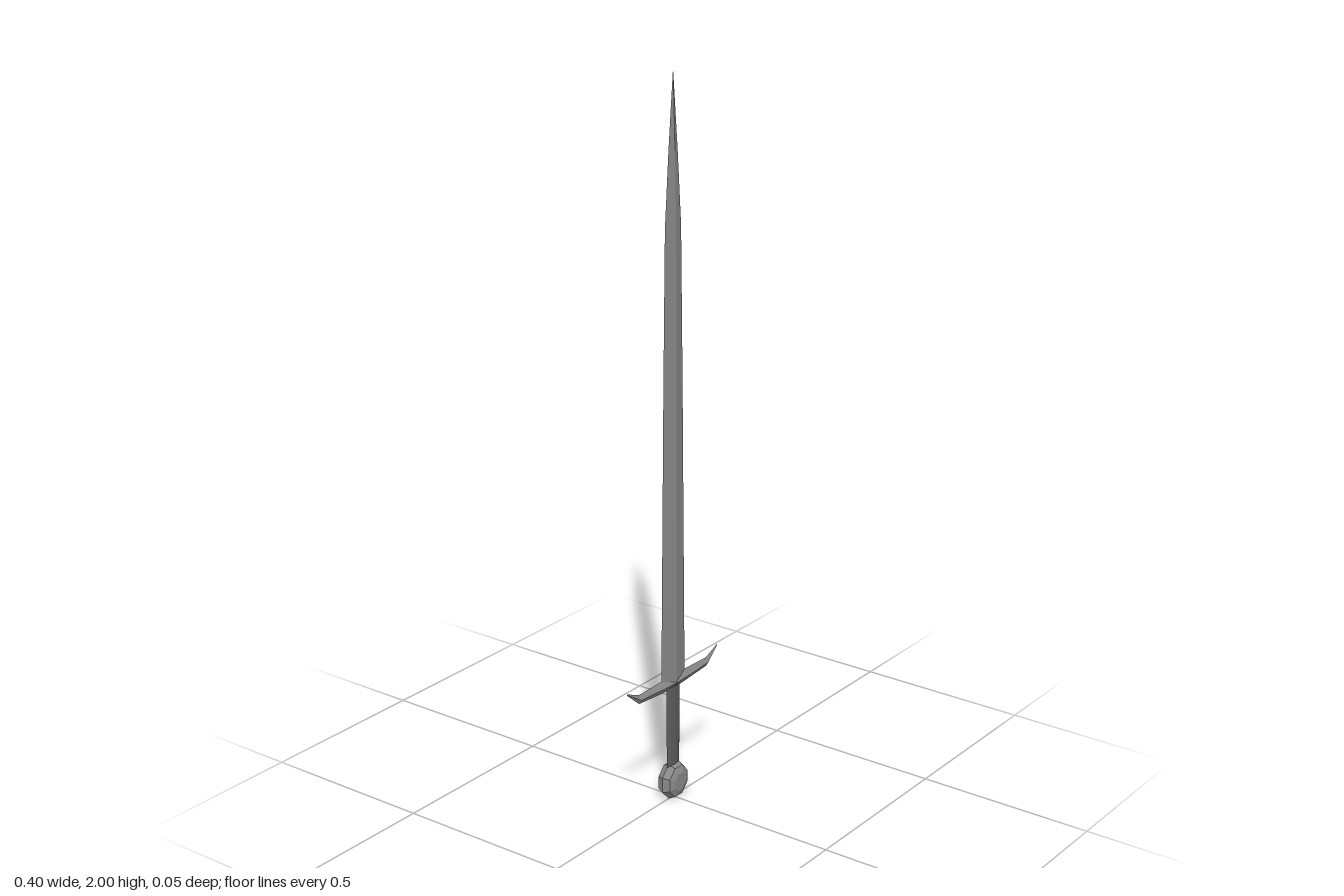
import * as THREE from 'three';

// Skin a list of closed rings; each ring winds counterclockwise about the direction of travel.
function loft(rings) {
  const pos = [];
  const tri = (a, b, c) => pos.push(...a, ...b, ...c);
  const n = rings[0].length;
  for (let i = 0; i < rings.length - 1; i++) {
    for (let j = 0; j < n; j++) {
      const k = (j + 1) % n;
      const a = rings[i][j], b = rings[i][k], c = rings[i + 1][k], d = rings[i + 1][j];
      tri(a, b, c);
      tri(a, c, d);
    }
  }
  const first = rings[0], last = rings[rings.length - 1];
  for (let j = 1; j < n - 1; j++) {
    tri(first[0], first[j + 1], first[j]);
    tri(last[0], last[j], last[j + 1]);
  }
  const g = new THREE.BufferGeometry();
  g.setAttribute('position', new THREE.Float32BufferAttribute(pos, 3));
  g.computeVertexNormals();
  return g;
}

export function createModel() {
  const steel = new THREE.MeshStandardMaterial({ name: 'steel', color: 0x888888, flatShading: true });
  const gripGrey = new THREE.MeshStandardMaterial({ name: 'dark grip', color: 0x5c5c5c, flatShading: true });
  const group = new THREE.Group();
  group.name = 'sword';
  const add = (name, geometry, material) => {
    const m = new THREE.Mesh(geometry, material);
    m.name = name;
    group.add(m);
  };

  // Blade: diamond section, [y, half width, half thickness]
  const bladeRings = [
    [0.34, 0.052, 0.012], [1.19, 0.041, 0.011], [1.6, 0.034, 0.01],
    [1.8, 0.019, 0.006], [2, 0.0005, 0.0005],
  ].map(([y, w, d]) => [[0, y, d], [w, y, 0], [0, y, -d], [-w, y, 0]]);
  add('blade', loft(bladeRings), steel);

  // Crossguard: diamond section running along x, [x, top, bottom, half thickness]
  const half = [[0, 0.363, 0.325, 0.013], [0.05, 0.363, 0.327, 0.012],
    [0.15, 0.361, 0.335, 0.008], [0.2, 0.382, 0.378, 0.001]];
  const stations = [
    ...half.slice(1).reverse().map(([x, ...r]) => [-x, ...r]),
    ...half,
  ];
  const guardRings = stations.map(([x, t, b, d]) => {
    const mid = (t + b) / 2;
    return [[x, t, 0], [x, mid, d], [x, b, 0], [x, mid, -d]];
  });
  add('crossguard', loft(guardRings), steel);

  // Grip: flattened eight-sided bar
  const gripRings = [[0.09, 0.028, 0.008], [0.335, 0.029, 0.01]].map(([y, w, d]) =>
    Array.from({ length: 8 }, (_, i) => {
      const a = (i / 8) * Math.PI * 2;
      return [Math.sin(a) * w, y, Math.cos(a) * d];
    }));
  add('grip', loft(gripRings), gripGrey);

  // Pommel: faceted octagonal disc along z, [z, radius]
  const pommelRings = [[-0.027, 0.026], [-0.019, 0.043], [0, 0.052], [0.019, 0.043], [0.027, 0.026]]
    .map(([z, r]) => Array.from({ length: 8 }, (_, i) => {
      const a = ((i + 0.5) / 8) * Math.PI * 2;
      return [Math.cos(a) * r, 0.052 + Math.sin(a) * r * 1.08, z];
    }));
  add('pommel', loft(pommelRings), steel);

  return group;
}
